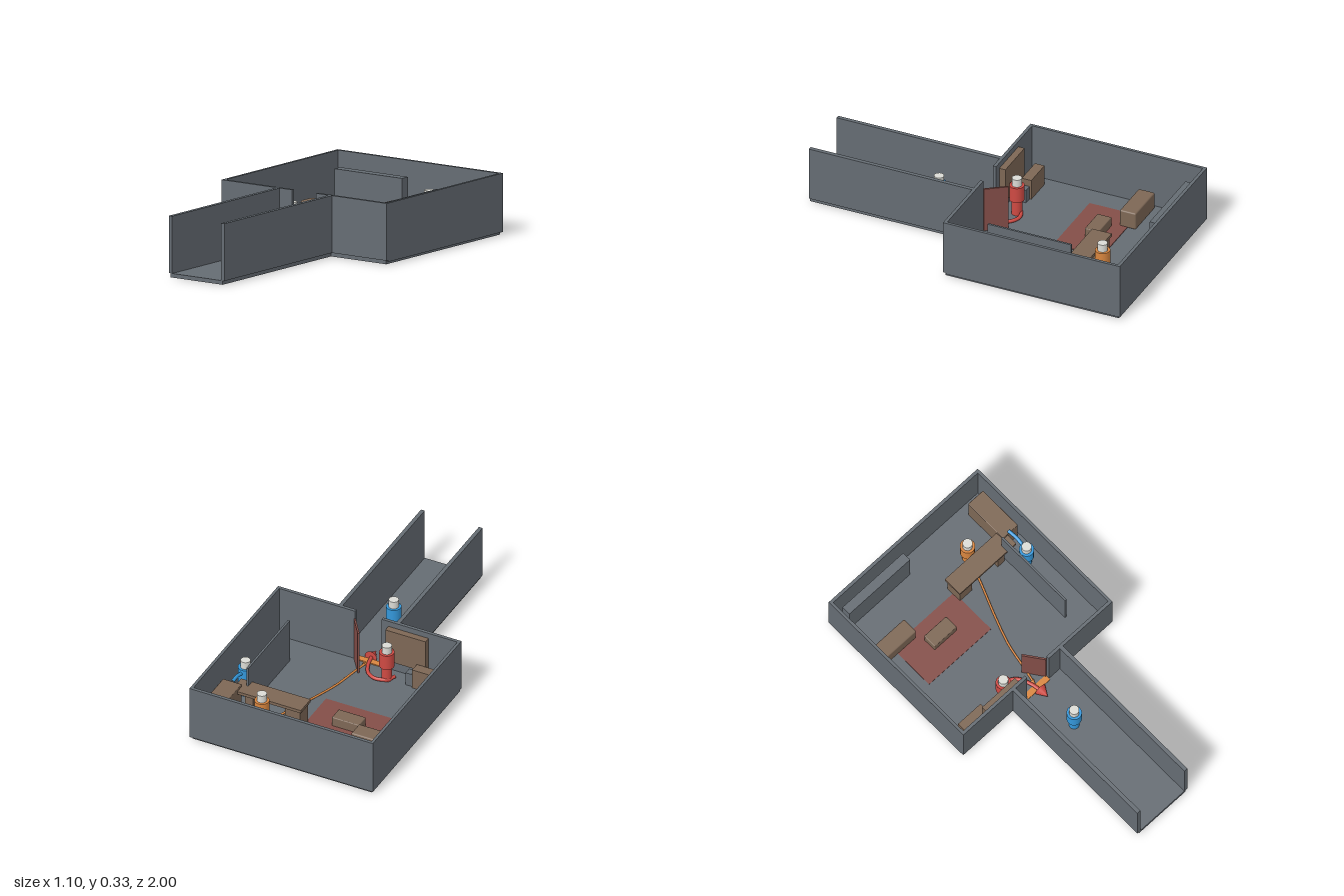
import * as THREE from 'three';
import { RoundedBoxGeometry } from 'three/addons/geometries/RoundedBoxGeometry.js';

const paint = (name, color) => {
  const m = new THREE.MeshStandardMaterial({ color });
  m.name = name;
  return m;
};

export function createModel() {
  const stone = paint('slate grey', 0x656c73);
  const wood = paint('brown wood', 0x7d6755);
  const maroon = paint('dull red', 0x844e48);
  const blue = paint('blue', 0x3498db);
  const red = paint('red', 0xcf4a43);
  const orange = paint('orange', 0xd9863f);
  const white = paint('off white', 0xdcdcd6);

  const model = new THREE.Group();
  model.name = 'roomWithCorridor';
  const FLOOR = 0.022, TOP = 0.333;

  function add(name, geometry, material, parent = model) {
    const mesh = new THREE.Mesh(geometry, material);
    mesh.name = name;
    parent.add(mesh);
    return mesh;
  }
  // box given by its extents, optionally with softened edges
  function block(name, mat, [x0, x1], [y0, y1], [z0, z1], round = 0) {
    const size = [x1 - x0, y1 - y0, z1 - z0];
    const geo = round ? new RoundedBoxGeometry(...size, 2, round) : new THREE.BoxGeometry(...size);
    const mesh = add(name, geo, mat);
    mesh.position.set((x0 + x1) / 2, (y0 + y1) / 2, (z0 + z1) / 2);
    return mesh;
  }
  function tube(name, mat, points, radius, parent = model) {
    const curve = new THREE.CatmullRomCurve3(points.map(p => new THREE.Vector3(...p)));
    return add(name, new THREE.TubeGeometry(curve, 40, radius, 10), mat, parent);
  }

  // floors
  block('roomFloor', stone, [-0.537, 0.537], [0, FLOOR], [-0.988, 0.03]);
  block('corridorFloor', stone, [-0.172, 0.172], [0, FLOOR], [0.03, 1]);

  // walls
  block('backWall', stone, [-0.548, 0.548], [FLOOR - 0.008, TOP], [-1, -0.982]);
  for (const s of [-1, 1]) {
    const span = (a, b) => [Math.min(s * a, s * b), Math.max(s * a, s * b)];
    block('sideWall', stone, span(0.532, 0.548), [FLOOR - 0.008, TOP], [-0.982, 0.022]);
    block('frontWall', stone, span(0.08, 0.548), [FLOOR, TOP], [0.022, 0.04]);
    block('corridorWall', stone, span(0.162, 0.184), [FLOOR, TOP], [0.04, 1]);
  }

  // inner screens
  block('backScreen', stone, [-0.495, -0.047], [FLOOR, 0.25], [-0.95, -0.897]);
  block('sideScreen', stone, [0.38, 0.392], [FLOOR, 0.285], [-0.64, -0.15]);

  // doorway: threshold and half-open door hinged on the +x side
  block('threshold', orange, [-0.08, 0.08], [FLOOR, 0.028], [0.015, 0.05]);
  const door = add('door', new THREE.BoxGeometry(0.134, 0.26, 0.01), maroon);
  door.position.set(0.041, 0.155, -0.034);
  door.rotation.y = -Math.atan2(0.11, 0.08);

  // rug and furniture
  block('rug', maroon, [-0.405, 0.05], [FLOOR, 0.026], [-0.66, -0.375]);
  block('sofa', wood, [-0.51, -0.27], [FLOOR, 0.122], [-0.71, -0.615], 0.008);
  block('coffeeTable', wood, [-0.25, -0.087], [FLOOR, 0.08], [-0.578, -0.495], 0.005);
  block('deskTop', wood, [0.03, 0.445], [0.152, 0.17], [-0.71, -0.595]);
  block('deskPedestal', wood, [0.04, 0.13], [FLOOR, 0.152], [-0.7, -0.605]);
  block('deskPedestal', wood, [0.32, 0.37], [FLOOR, 0.152], [-0.7, -0.605]);
  block('cabinet', wood, [0.41, 0.52], [FLOOR, 0.187], [-0.93, -0.66], 0.004);
  block('wallBoard', wood, [-0.36, -0.12], [0.1, 0.3], [-0.014, 0.022]);
  block('sideTable', wood, [-0.477, -0.312], [FLOOR, 0.14], [-0.076, -0.02]);
  block('stool', stone, [-0.312, -0.268], [FLOOR, 0.1], [-0.066, -0.024]);

  // simple standing figures made from stacked cylinders
  function figure(name, mat, x, z) {
    const g = new THREE.Group();
    g.name = name;
    g.position.set(x, 0, z);
    for (const [part, r, y0, y1, m] of [
      ['legs', 0.029, FLOOR, 0.112, mat],
      ['torso', 0.041, 0.11, 0.2, mat],
      ['head', 0.027, 0.2, 0.244, white],
    ]) {
      add(part, new THREE.CylinderGeometry(r, r, y1 - y0, 20), m, g).position.y = (y0 + y1) / 2;
    }
    model.add(g);
    return g;
  }
  figure('corridorFigure', blue, 0, 0.32);
  figure('doorFigure', red, -0.155, -0.065);
  figure('deskFigure', orange, 0.24, -0.755);
  const worker = figure('cabinetFigure', blue, 0.455, -0.525);
  tube('arm', blue, [[0.005, 0.17, -0.02], [0.01, 0.185, -0.08], [0.005, 0.19, -0.145]], 0.01, worker);

  // curved arrow on the floor leading out through the door
  tube('arrowShaft', red, [[-0.19, 0.033, -0.04], [-0.165, 0.033, -0.085], [-0.1, 0.033, -0.102],
    [-0.045, 0.033, -0.07], [-0.012, 0.033, 0], [0, 0.033, 0.06]], 0.01);
  const tip = add('arrowHead', new THREE.ConeGeometry(0.036, 0.06, 16), red);
  tip.position.set(0.002, 0.035, 0.085);
  tip.rotation.x = Math.PI / 2;

  // thin trail on the floor from the desk to the door
  tube('trail', orange, [[0.235, 0.029, -0.72], [0.19, 0.029, -0.6], [0.11, 0.029, -0.4],
    [0.055, 0.029, -0.24], [0.025, 0.029, -0.09], [0.005, 0.029, 0]], 0.006);
  const trailTip = add('trailTip', new THREE.ConeGeometry(0.015, 0.03, 12), orange);
  trailTip.position.set(0.003, 0.029, 0.005);
  trailTip.rotation.x = Math.PI / 2;

  return model;
}
